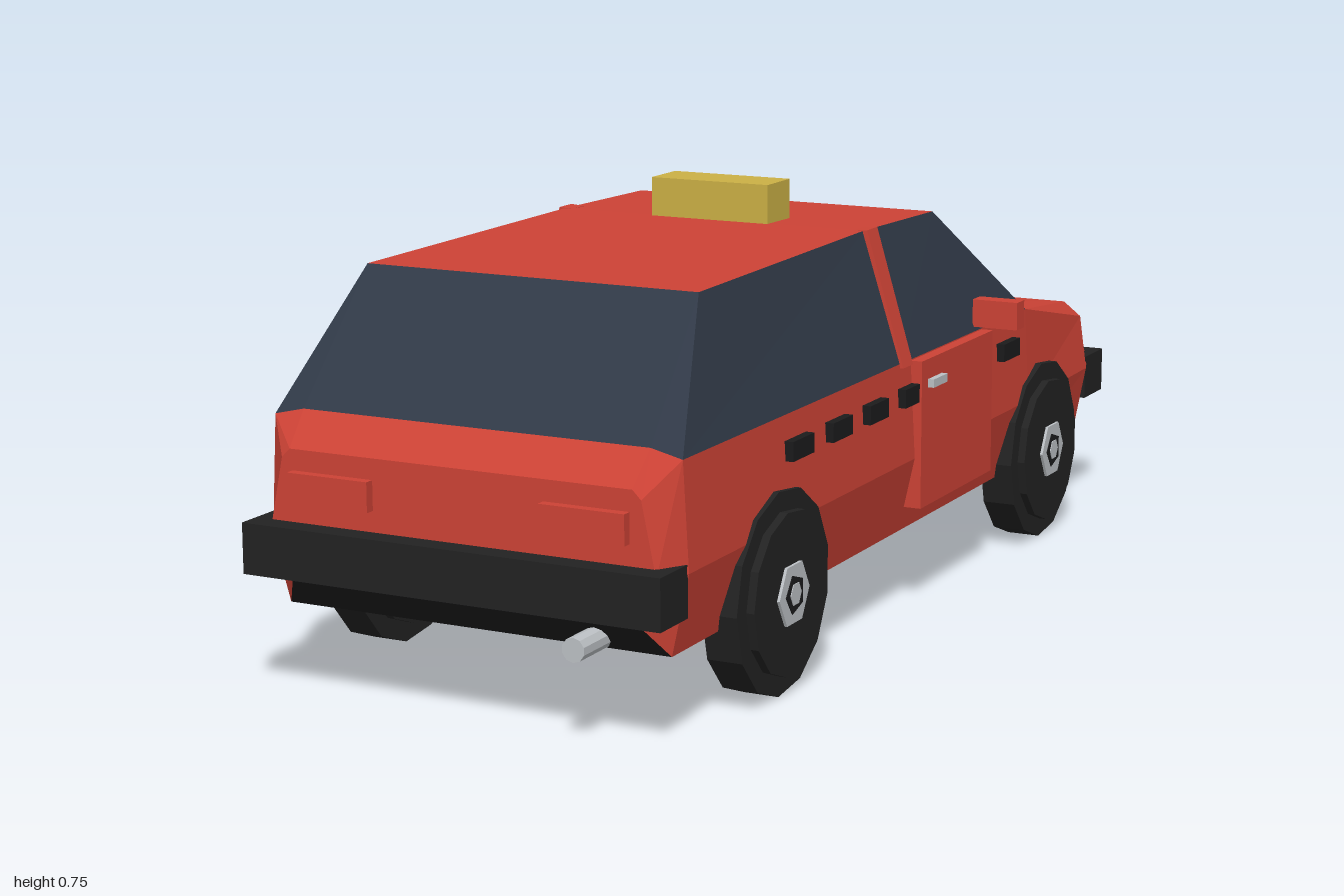
import * as THREE from 'three';

const mat = (name, color) => {
  const m = new THREE.MeshStandardMaterial({ color });
  m.name = name;
  return m;
};

// Flat faces from polygons, each wound to face away from the car's middle
function facets(polys) {
  const pos = [];
  const mid = new THREE.Vector3(0, 0.3, 0);
  for (const poly of polys) {
    const p = poly.map((c) => new THREE.Vector3(...c));
    for (let i = 1; i < p.length - 1; i++) {
      const t = [p[0], p[i], p[i + 1]];
      const n = t[1].clone().sub(t[0]).cross(t[2].clone().sub(t[0]));
      const c = t[0].clone().add(t[1]).add(t[2]).divideScalar(3);
      // compare with the middle at the same length station for long side faces
      if (n.dot(c.sub(mid)) < 0) t.reverse();
      t.forEach((v) => pos.push(v.x, v.y, v.z));
    }
  }
  const g = new THREE.BufferGeometry();
  g.setAttribute('position', new THREE.Float32BufferAttribute(pos, 3));
  g.computeVertexNormals();
  return g;
}

export function createModel() {
  const car = new THREE.Group();
  car.name = 'taxi';
  const red = mat('red paint', 0xcc4235);
  const glass = mat('dark glass', 0x303947);
  const black = mat('black rubber', 0x222222);
  const dark = mat('black trim', 0x1b1b1c);
  const silver = mat('silver', 0xbcc0c4);
  const lamp = mat('pale lamp', 0xc4c0b6);
  const yellow = mat('yellow sign', 0xcbb045);

  const add = (name, geo, material, parent = car) => {
    const m = new THREE.Mesh(geo, material);
    m.name = name;
    parent.add(m);
    return m;
  };
  // Box given by its limits on each axis
  const box = (name, material, x0, x1, y0, y1, z0, z1) =>
    add(name, new THREE.BoxGeometry(Math.abs(x1 - x0), y1 - y0, z1 - z0), material)
      .position.set((x0 + x1) / 2, (y0 + y1) / 2, (z0 + z1) / 2);

  // Lower body: z, then sill, waist, shoulder and top edge as [x, y]
  const stations = [
    [0.955, [0.31, 0.21], [0.35, 0.28], [0.325, 0.40], [0.31, 0.415]],
    [0.905, [0.35, 0.145], [0.38, 0.28], [0.37, 0.457], [0.315, 0.47]],
    [-0.51, [0.35, 0.145], [0.38, 0.28], [0.37, 0.457], [0.315, 0.47]],
    [-0.855, [0.345, 0.15], [0.37, 0.28], [0.355, 0.385], [0.32, 0.412]],
    [-0.955, [0.30, 0.21], [0.335, 0.28], [0.31, 0.345], [0.285, 0.36]],
  ];
  const rings = stations.map(([z, ...pts]) => [
    ...pts.map(([x, y]) => [x, y, z]),
    ...pts.reverse().map(([x, y]) => [-x, y, z]),
  ]);
  const painted = [rings[0], rings[4]];
  const under = [];
  for (let s = 0; s < 4; s++) {
    for (let i = 0; i < 8; i++) {
      const j = (i + 1) % 8;
      (i === 7 ? under : painted).push([rings[s][i], rings[s][j], rings[s + 1][j], rings[s + 1][i]]);
    }
  }
  add('body', facets(painted), red);
  add('underside', facets(under), dark);

  // Cabin glass and roof
  const roofLine = [[0.305, 0.68, 0.725], [0.297, 0.686, 0.08], [0.3, 0.68, -0.215]];
  const flip = ([x, y, z]) => [-x, y, z];
  const [rr, rm, rf] = roofLine;
  const rearIn = [0.315, 0.47, 0.905], rearOut = [0.37, 0.457, 0.905];
  const frontIn = [0.315, 0.47, -0.51], frontOut = [0.37, 0.457, -0.51];
  const midOut = [0.37, 0.457, 0.08];
  const side = [
    [rearIn, rearOut, rr], [rearOut, midOut, rm, rr],
    [midOut, frontOut, rf, rm], [frontOut, frontIn, rf],
  ];
  add('sideWindows', facets([...side, ...side.map((p) => p.map(flip))]), glass);
  add('rearWindow', facets([[rearIn, rr, flip(rr), flip(rearIn)]]), glass);
  add('windshield', facets([[frontIn, rf, flip(rf), flip(frontIn)]]), glass);
  add('roof', facets([[rr, rm, flip(rm), flip(rr)], [rm, rf, flip(rf), flip(rm)]]), red);

  // Roof sign
  box('roofSign', yellow, -0.115, 0.115, 0.68, 0.755, 0, 0.09);

  // Bumpers, plate and exhaust
  box('rearBumper', black, -0.378, 0.378, 0.21, 0.295, 0.905, 0.995);
  box('frontBumper', black, -0.355, 0.355, 0.21, 0.295, -0.99, -0.89);
  box('plate', lamp, -0.1, 0.1, 0.235, 0.288, -1, -0.985);
  const pipe = add('exhaust', new THREE.CylinderGeometry(0.02, 0.02, 0.14, 10).toNonIndexed(), silver);
  pipe.geometry.computeVertexNormals();
  pipe.rotation.x = Math.PI / 2;
  pipe.position.set(0.23, 0.165, 0.93);

  // Wheel shapes
  const disc = (r, w, n) => {
    const g = new THREE.CylinderGeometry(r, r, w, n).toNonIndexed();
    g.computeVertexNormals();
    return g.rotateZ(Math.PI / 2);
  };
  const tread = disc(0.172, 0.062, 13);
  const wall = disc(0.138, 0.09, 13);
  const hub = disc(0.056, 0.1, 6);
  const hubRing = disc(0.034, 0.103, 5);
  const cap = disc(0.02, 0.106, 6);

  for (const s of [1, -1]) {
    const label = s > 0 ? 'left' : 'right';
    for (const z of [0.583, -0.582]) {
      const wheel = new THREE.Group();
      wheel.name = label + (z > 0 ? 'RearWheel' : 'FrontWheel');
      wheel.position.set(s * 0.355, 0.172, z);
      add('tread', tread, black, wheel);
      add('sidewall', wall, black, wheel);
      add('hub', hub, silver, wheel);
      add('hubRing', hubRing, dark, wheel);
      add('hubCap', cap, silver, wheel);
      car.add(wheel);
    }

    // Door, handle and mirror
    box(label + 'Door', red, s * 0.34, s * 0.392, 0.19, 0.455, -0.29, 0.04);
    box(label + 'Handle', silver, s * 0.38, s * 0.403, 0.404, 0.419, -0.05, 0.012);
    box(label + 'Mirror', red, s * 0.365, s * 0.452, 0.465, 0.516, -0.292, -0.257);

    // Dashed side trim
    for (const [z0, z1] of [[0.475, 0.555], [0.323, 0.4], [0.173, 0.25], [0.035, 0.1], [-0.44, -0.36]]) {
      box(label + 'Trim', dark, s * 0.36, s * 0.388, 0.382, 0.415, z0, z1);
    }

    // Door pillar leaning along the side glass
    const pillarShape = new THREE.Shape([
      [0.35, 0.45], [0.377, 0.45], [0.306, 0.688], [0.28, 0.686],
    ].map(([x, y]) => new THREE.Vector2(s * x, y)));
    const pillar = add(label + 'Pillar',
      new THREE.ExtrudeGeometry(pillarShape, { depth: 0.043, bevelEnabled: false }), red);
    pillar.position.z = 0.045;

    // Lamps
    box(label + 'TailLight', red, s * 0.155, s * 0.305, 0.33, 0.38, 0.945, 0.972);
    box(label + 'Headlight', lamp, s * 0.15, s * 0.303, 0.288, 0.326, -0.968, -0.945);
  }
  return car;
}
